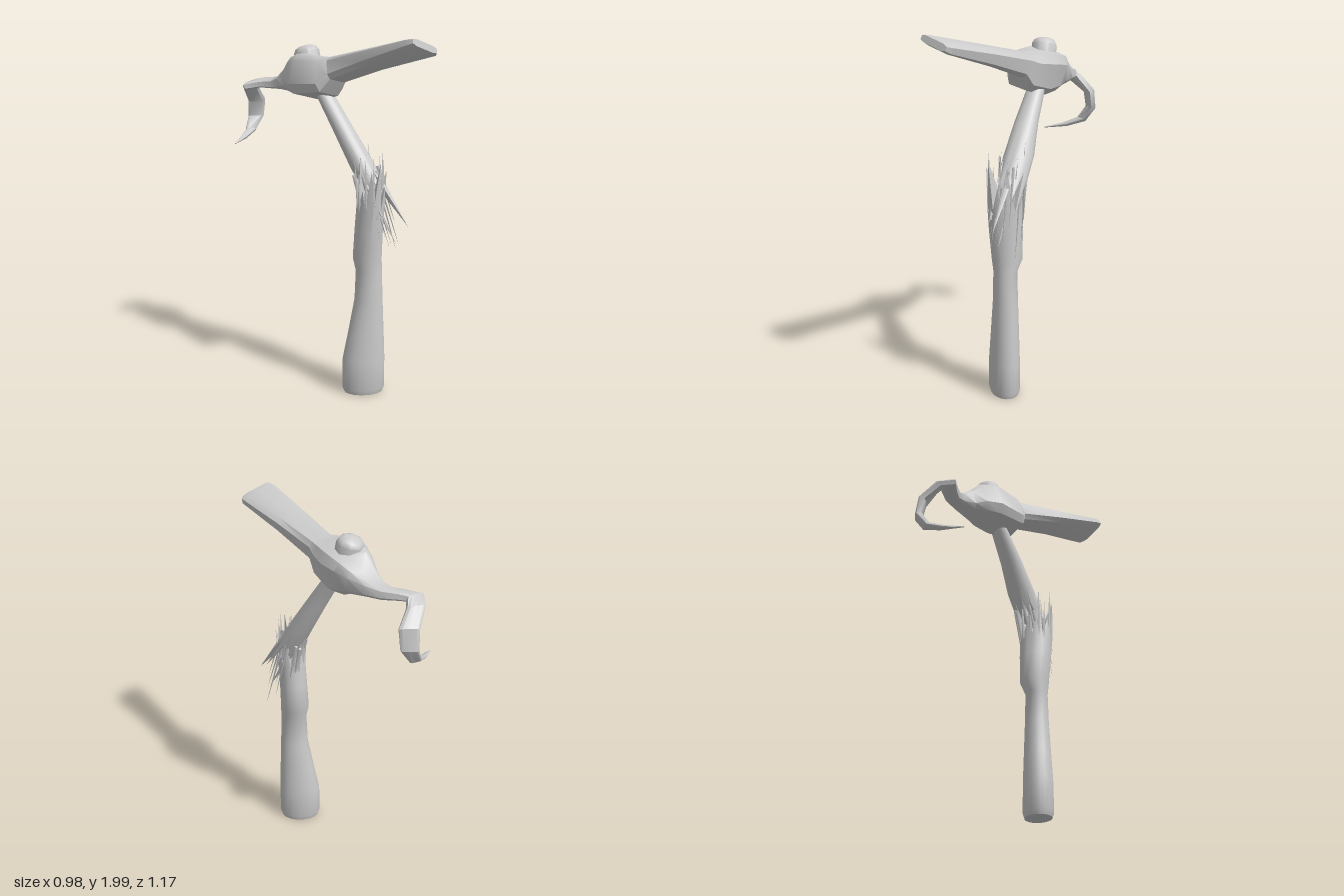
import * as THREE from 'three';
import { toCreasedNormals } from 'three/addons/utils/BufferGeometryUtils.js';

const V = (x, y, z) => new THREE.Vector3(x, y, z);
const material = new THREE.MeshStandardMaterial({ color: 0xcccccc, side: THREE.DoubleSide });

// Skins closed rings of points and closes both ends with fans.
function loft(name, rings, crease) {
  const n = rings[0].length, last = rings.length - 1;
  const pts = rings.flat(), index = [];
  for (let i = 0; i < last; i++) {
    for (let j = 0; j < n; j++) {
      const k = (j + 1) % n, a = i * n + j, b = i * n + k;
      index.push(a, b, b + n, a, b + n, a + n);
    }
  }
  [0, last].forEach((r) => {
    const centre = V(0, 0, 0);
    // even points are the valleys of a jagged ring
    rings[r].forEach((p, j) => { if (j % 2 === 0) centre.addScaledVector(p, 2 / n); });
    const c = pts.push(centre) - 1;
    for (let j = 0; j < n; j++) {
      const a = r * n + j, b = r * n + (j + 1) % n;
      if (r === 0) index.push(c, b, a); else index.push(c, a, b);
    }
  });
  const geometry = new THREE.BufferGeometry().setFromPoints(pts);
  geometry.setIndex(index);
  const mesh = new THREE.Mesh(toCreasedNormals(geometry, crease), material);
  mesh.name = name;
  return mesh;
}

// Blade, hub and hook as one bar: left edge, right edge, thickness.
function head() {
  const sections = [
    [V(0.345, 1.98, 0.58), V(0.485, 1.93, 0.49), 0.035],
    [V(0.31, 1.97, 0.55), V(0.49, 1.92, 0.46), 0.05],
    [V(0.15, 1.9, 0.29), V(0.29, 1.86, 0.2), 0.085],
    [V(0, 1.83, 0.04), V(0.12, 1.80, -0.03), 0.125],
    [V(-0.06, 1.80, 0.02), V(0.1, 1.76, -0.08), 0.2],
    [V(-0.18, 1.80, -0.11), V(0.05, 1.74, -0.19), 0.23],
    [V(-0.2, 1.79, -0.2), V(-0.01, 1.74, -0.27), 0.2],
    [V(-0.215, 1.75, -0.26), V(-0.06, 1.74, -0.31), 0.13],
    [V(-0.245, 1.725, -0.315), V(-0.14, 1.735, -0.37), 0.075],
    [V(-0.28, 1.715, -0.345), V(-0.22, 1.73, -0.42), 0.055],
    [V(-0.34, 1.715, -0.36), V(-0.3, 1.73, -0.445), 0.045],
    [V(-0.43, 1.70, -0.37), V(-0.345, 1.725, -0.455), 0.04],
    [V(-0.43, 1.685, -0.46), V(-0.34, 1.69, -0.49), 0.045],
    [V(-0.4, 1.61, -0.55), V(-0.3, 1.61, -0.55), 0.045],
    [V(-0.4, 1.51, -0.565), V(-0.31, 1.51, -0.565), 0.04],
    [V(-0.42, 1.435, -0.51), V(-0.36, 1.43, -0.53), 0.03],
    [V(-0.455, 1.4, -0.42), V(-0.42, 1.395, -0.44), 0.02],
    [V(-0.49, 1.378, -0.315), V(-0.485, 1.376, -0.32), 0.006],
  ];
  const mids = sections.map(([l, r]) => l.clone().add(r).multiplyScalar(0.5));
  const outline = [[1, -0.7], [1, 0], [1, 0.7], [0.6, 1], [-0.6, 1], [-1, 0.7], [-1, -0.7], [-0.6, -1], [0.6, -1], [0.9, -0.85]];
  const rings = sections.map(([l, r, t], i) => {
    const along = mids[Math.min(i + 1, mids.length - 1)].clone().sub(mids[Math.max(i - 1, 0)]);
    const side = r.clone().sub(l).multiplyScalar(0.5);
    const up = side.clone().cross(along).normalize().multiplyScalar(t / 2);
    return outline.map(([u, s]) => mids[i].clone().addScaledVector(up, u).addScaledVector(side, s));
  });
  return loft('pickHead', rings, 0.6);
}

// Shaft from oval level rings [x, y, z, rx, rz]; the last ring is pulled into spikes.
function shaft(name, levels, dir, pull, heights) {
  const n = 20;
  const rings = levels.map(([x, y, z, rx, rz], i) => Array.from({ length: n }, (_, j) => {
    const a = (j / n) * Math.PI * 2 * dir;
    const p = V(x + Math.sin(a) * rx, y, z + Math.cos(a) * rz);
    if (i === levels.length - 1 && j % 2) p.addScaledVector(pull, heights[(j - 1) / 2]);
    return p;
  }));
  return loft(name, rings, 0.8);
}

// Thin loose splinters standing around an oval [x, y, z, rx, rz].
function splinters(name, [x, y, z, rx, rz], pull, count, spread) {
  const group = new THREE.Group();
  group.name = name;
  for (let i = 0; i < count; i++) {
    const a = i * 2.4, h = 0.2 + 0.13 * Math.abs(Math.sin(i * 5.3 + 1));
    const base = V(x + Math.sin(a) * rx, y + 0.04 * Math.sin(i * 3), z + Math.cos(a) * rz);
    const axis = pull.clone().multiplyScalar(h);
    axis.x += Math.sin(a + 0.8) * spread;
    axis.z += Math.cos(a + 0.8) * spread;
    const cone = new THREE.ConeGeometry(0.011, axis.length(), 4);
    cone.translate(0, axis.length() / 2, 0);
    const mesh = new THREE.Mesh(cone, material);
    mesh.name = 'splinter';
    mesh.position.copy(base);
    mesh.quaternion.setFromUnitVectors(V(0, 1, 0), axis.normalize());
    group.add(mesh);
  }
  return group;
}

export function createModel() {
  const model = new THREE.Group();
  model.name = 'brokenPickaxe';
  model.add(head());

  // Handle end showing above the hub
  const peg = new THREE.Group();
  peg.name = 'handleEnd';
  const profile = [[0.068, -0.14], [0.072, 0], [0.06, 0.022], [0.035, 0.034], [0, 0.038]].map(([r, y]) => new THREE.Vector2(r, y));
  peg.add(new THREE.Mesh(toCreasedNormals(new THREE.LatheGeometry(profile, 8), 0.9), material));
  peg.children[0].name = 'peg';
  peg.position.set(-0.085, 1.905, -0.18);
  peg.quaternion.setFromUnitVectors(V(0, 1, 0), V(-0.2, 1, -0.15).normalize());
  model.add(peg);

  // Upper handle, snapped and leaning
  const down = V(0.55, -1, 0.5), up = V(0.05, 1, 0.03);
  model.add(shaft('upperHandle', [
    [-0.04, 1.76, -0.145, 0.045, 0.045],
    [0.0, 1.69, -0.11, 0.05, 0.048],
    [0.095, 1.5, -0.02, 0.06, 0.066],
    [0.175, 1.34, 0.045, 0.07, 0.083],
    [0.205, 1.27, 0.07, 0.07, 0.078],
  ], -1, down, [0.14, 0.25, 0.1, 0.38, 0.16, 0.08, 0.2, 0.12, 0.28, 0.1]));
  model.add(splinters('upperSplinters', [0.21, 1.26, 0.08, 0.065, 0.07], V(0.3, -1.25, 0.25), 13, 0.02));

  // Lower handle with its flared grip
  model.add(shaft('lowerHandle', [
    [0.2, 0, 0.135, 0.11, 0.075],
    [0.2, 0.03, 0.135, 0.121, 0.085],
    [0.2, 0.2, 0.135, 0.121, 0.083],
    [0.212, 0.36, 0.135, 0.102, 0.076],
    [0.225, 0.55, 0.135, 0.08, 0.068],
    [0.225, 0.72, 0.135, 0.074, 0.064],
    [0.217, 0.79, 0.122, 0.081, 0.084],
    [0.222, 0.95, 0.13, 0.078, 0.092],
    [0.23, 1.08, 0.138, 0.075, 0.095],
  ], 1, up, [0.26, 0.12, 0.2, 0.08, 0.16, 0.1, 0.14, 0.28, 0.1, 0.22]));
  model.add(splinters('lowerSplinters', [0.23, 1.06, 0.138, 0.066, 0.085], V(-0.05, 1, -0.05), 13, 0.02));
  return model;
}
